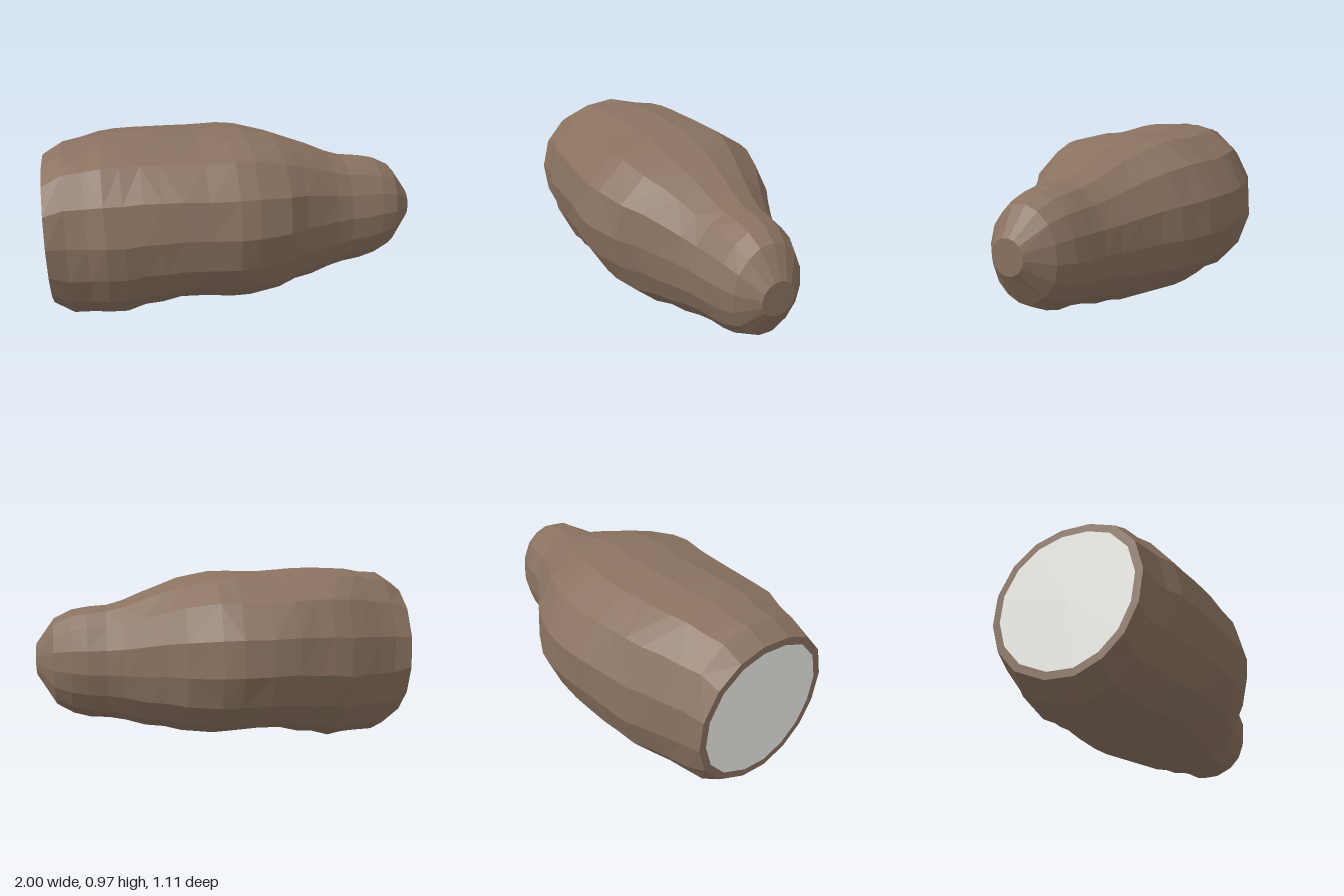
import * as THREE from 'three';

// Outline of the thick middle as unit [z, y], counter-clockwise seen from +x
const SECTION = [
  [0.29, 0.97], [0.65, 0.86], [0.92, 0.55], [1, 0.13], [0.93, -0.27], [0.77, -0.61], [0.52, -0.86], [0.18, -1],
  [-0.2, -0.95], [-0.61, -0.76], [-0.88, -0.46], [-1, -0.09], [-0.985, 0.32], [-0.79, 0.7], [-0.47, 0.93], [-0.11, 1],
];

// Stations along the body: x, top, bottom, back z, front z
const STATIONS = [
  [-1, 0.89, 0.10, -0.35, 0.435],
  [-0.9, 0.95, 0.015, -0.37, 0.435],
  [-0.8, 0.957, 0.015, -0.41, 0.455],
  [-0.71, 0.975, 0.012, -0.45, 0.49],
  [-0.62, 0.98, 0.003, -0.49, 0.5],
  [-0.52, 0.98, 0.035, -0.515, 0.51],
  [-0.43, 0.978, 0.04, -0.53, 0.52],
  [-0.33, 0.972, 0.065, -0.55, 0.53],
  [-0.2, 0.965, 0.065, -0.56, 0.54],
  [-0.05, 0.97, 0.055, -0.553, 0.555],
  [0.05, 0.965, 0.05, -0.53, 0.54],
  [0.22, 0.93, 0.065, -0.455, 0.485],
  [0.32, 0.895, 0.09, -0.39, 0.415],
  [0.42, 0.86, 0.10, -0.335, 0.365],
  [0.53, 0.815, 0.135, -0.28, 0.315],
  [0.62, 0.79, 0.155, -0.245, 0.285],
  [0.72, 0.782, 0.165, -0.23, 0.27],
  [0.81, 0.765, 0.19, -0.205, 0.255],
  [0.9, 0.72, 0.24, -0.16, 0.225],
  [1, 0.58, 0.40, -0.045, 0.135],
];

const SIDES = SECTION.length;

// One ring of points, rounder towards both ends;
// scale shrinks it, uneven adds slight hand-carved bumps
function makeRing([x, top, bottom, back, front], scale = 1, uneven = 0) {
  const round = THREE.MathUtils.smoothstep(x, 0.2, 0.8) + 0.5 * (1 - THREE.MathUtils.smoothstep(x, -1, -0.65));
  return SECTION.map(([z, y], j) => {
    const toCircle = THREE.MathUtils.lerp(1, 1 / Math.hypot(z, y), round);
    const s = toCircle * scale + uneven * Math.sin(j * 2.4 + x * 9);
    return [x, (top + bottom) / 2 + y * s * (top - bottom) / 2, (front + back) / 2 + z * s * (front - back) / 2];
  });
}

// Fan cap closing a ring
function addCap(out, ring, facesPlusX) {
  const centre = [0, 1, 2].map((k) => ring.reduce((sum, p) => sum + p[k], 0) / SIDES);
  ring.forEach((p, j) => {
    const q = ring[(j + 1) % SIDES];
    out.push(...centre, ...(facesPlusX ? p : q), ...(facesPlusX ? q : p));
  });
}

function makeMesh(name, positions, color) {
  const geometry = new THREE.BufferGeometry();
  geometry.setAttribute('position', new THREE.Float32BufferAttribute(positions, 3));
  geometry.computeVertexNormals();
  const mesh = new THREE.Mesh(geometry, new THREE.MeshStandardMaterial({ color, flatShading: true }));
  mesh.name = name;
  return mesh;
}

export function createModel() {
  const group = new THREE.Group();
  group.name = 'taperedLog';

  // Rim at the blunt end, then the body out to the narrow tip
  const innerRim = makeRing(STATIONS[0], 0.9);
  const last = STATIONS.length - 1;
  const rings = [innerRim, ...STATIONS.map((s, i) => makeRing(s, 1, i > 0 && i < last ? 0.007 : 0))];

  const skin = [];
  for (let i = 0; i < rings.length - 1; i++) {
    for (let j = 0; j < SIDES; j++) {
      const k = (j + 1) % SIDES;
      const a = rings[i][j], b = rings[i][k], c = rings[i + 1][j], d = rings[i + 1][k];
      // Alternate the diagonal for irregular facets
      if ((i * 3 + j) % 4 < 2) skin.push(...a, ...b, ...c, ...b, ...d, ...c);
      else skin.push(...a, ...b, ...d, ...a, ...d, ...c);
    }
  }
  addCap(skin, rings[rings.length - 1], true);
  group.add(makeMesh('body', skin, 0x8a7260));

  // Pale face set in the rim
  const face = [];
  addCap(face, innerRim, false);
  group.add(makeMesh('endFace', face, 0xf0f0ea));

  return group;
}
